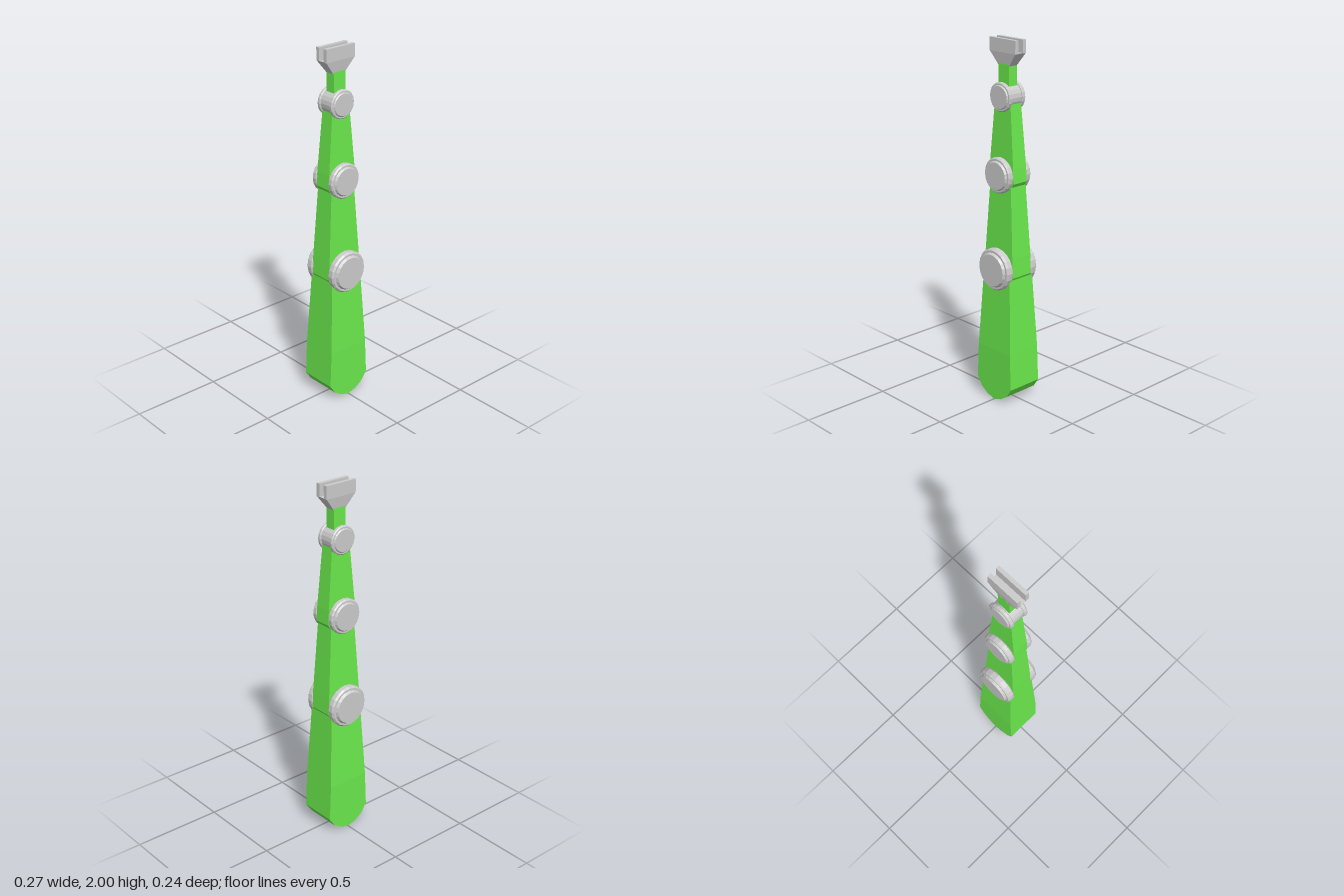
import * as THREE from 'three';

const green = new THREE.MeshStandardMaterial({ color: 0x6ae84c, flatShading: true });
const grey = new THREE.MeshStandardMaterial({ color: 0xcccccc, flatShading: true });

// Solid made of stacked rectangular sections: rows of [y, half width, half depth]
function loft(rows) {
  const pos = [];
  const corners = rows.map(([y, w, d]) => [[-w, y, d], [w, y, d], [w, y, -d], [-w, y, -d]]);
  const quad = (a, b, c, d) => pos.push(...a, ...b, ...c, ...a, ...c, ...d);
  for (let i = 0; i < corners.length - 1; i++) {
    const lo = corners[i], hi = corners[i + 1];
    for (let k = 0; k < 4; k++) {
      const n = (k + 1) % 4;
      quad(lo[k], lo[n], hi[n], hi[k]);
    }
  }
  const first = corners[0], last = corners[corners.length - 1];
  quad(first[3], first[2], first[1], first[0]);
  quad(...last);
  const geo = new THREE.BufferGeometry();
  geo.setAttribute('position', new THREE.Float32BufferAttribute(pos, 3));
  geo.computeVertexNormals();
  return geo;
}

function add(parent, name, geo, material) {
  const mesh = new THREE.Mesh(geo, material);
  mesh.name = name;
  parent.add(mesh);
  return mesh;
}

// Pivot joint: an axle with a stepped, chamfered cap on the front and back
function joint(name, y, radius, inner, outer, axleRadius) {
  const group = new THREE.Group();
  group.name = name;
  group.position.set(-0.002, y, 0);
  const t = outer - inner;
  const profile = [
    [0, inner], [radius * 0.94, inner], [radius, inner + t * 0.15],
    [radius, inner + t * 0.6], [radius * 0.93, inner + t * 0.77],
    [radius * 0.83, inner + t * 0.77], [radius * 0.76, outer], [0, outer],
  ].map(([r, h]) => new THREE.Vector2(r, h));
  for (const side of [1, -1]) {
    const cap = add(group, side > 0 ? 'frontCap' : 'backCap', new THREE.LatheGeometry(profile, 20), grey);
    cap.rotation.x = side * Math.PI / 2;
  }
  const axle = add(group, 'axle', new THREE.CylinderGeometry(axleRadius, axleRadius, inner * 2 + 0.01, 20), grey);
  axle.rotation.x = Math.PI / 2;
  return group;
}

export function createModel() {
  const model = new THREE.Group();
  model.name = 'jointedArm';

  // Tapering arm segments, from the rounded foot upwards
  add(model, 'baseSegment', loft([
    [0, 0, 0.105], [0.016, 0.053, 0.105], [0.047, 0.1, 0.105], [0.097, 0.134, 0.105],
    [0.3, 0.125, 0.104], [0.73, 0.102, 0.083], [0.8, 0.085, 0.08], [0.84, 0.05, 0.078],
  ]), green);
  add(model, 'lowerSegment', loft([
    [0.69, 0.06, 0.069], [0.71, 0.095, 0.069], [0.735, 0.11, 0.068], [0.84, 0.105, 0.067],
    [1.25, 0.078, 0.053], [1.32, 0.06, 0.051], [1.35, 0.03, 0.05],
  ]), green);
  add(model, 'upperSegment', loft([
    [1.21, 0.05, 0.05], [1.23, 0.08, 0.05], [1.25, 0.093, 0.049], [1.33, 0.089, 0.047],
    [1.69, 0.057, 0.037], [1.74, 0.035, 0.036],
  ]), green);
  add(model, 'neck', loft([[1.68, 0.038, 0.029], [1.87, 0.038, 0.029]]), green);

  // Pivots
  model.add(joint('lowerJoint', 0.766, 0.117, 0.064, 0.122, 0.08));
  model.add(joint('middleJoint', 1.285, 0.097, 0.046, 0.09, 0.06));
  model.add(joint('upperJoint', 1.7, 0.078, 0.035, 0.063, 0.07));

  // Clamp head: flared body carrying two parallel jaws
  const head = new THREE.Group();
  head.name = 'clampHead';
  head.position.x = -0.002;
  model.add(head);
  add(head, 'clampBody', loft([[1.86, 0.039, 0.027], [1.932, 0.096, 0.038]]), grey);
  for (const side of [1, -1]) {
    const jaw = add(head, side > 0 ? 'frontJaw' : 'backJaw', new THREE.BoxGeometry(0.192, 0.07, 0.021), grey);
    jaw.position.set(0, 1.965, side * 0.0275);
  }
  return model;
}
